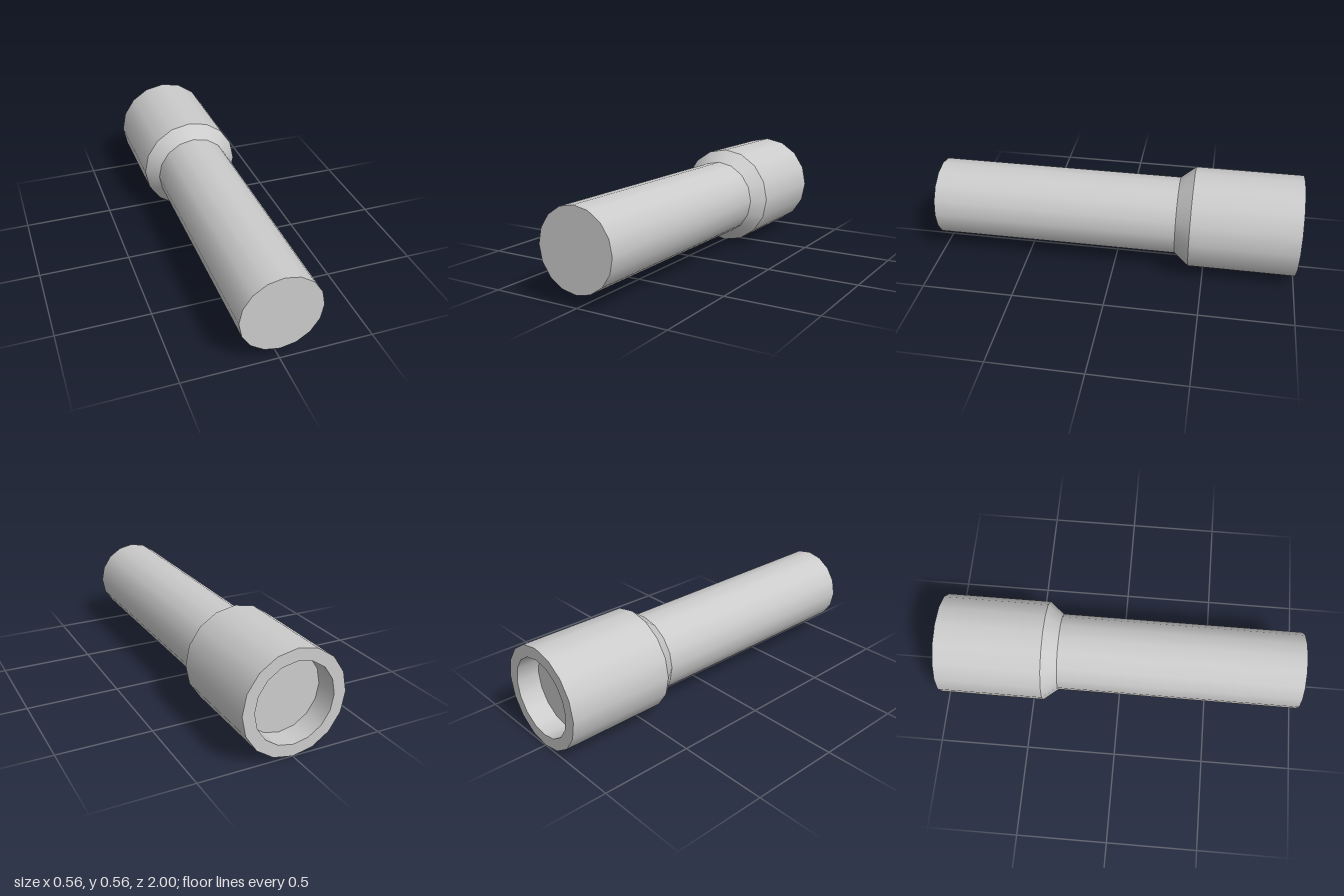
import * as THREE from 'three';

const SIDES = 16;
const SHAFT_R = 0.214, HEAD_R = 0.278, AXIS_Y = 0.28;

export function createModel() {
  const model = new THREE.Group();
  model.name = 'tubeWithSocket';
  const material = new THREE.MeshStandardMaterial({ color: 0xcccccc });

  // One smooth band of the turned profile, given as [radius, z] start and end;
  // separate bands keep the edges between them sharp.
  function band(name, [r1, z1], [r2, z2]) {
    const points = [new THREE.Vector2(r1, z1), new THREE.Vector2(r2, z2)];
    const geometry = new THREE.LatheGeometry(points, SIDES);
    geometry.rotateX(Math.PI / 2);
    geometry.translate(0, AXIS_Y, 0);
    const mesh = new THREE.Mesh(geometry, material);
    mesh.name = name;
    model.add(mesh);
  }

  // Flat disc across the axis, facing +z or -z
  function disc(name, radius, z, facing) {
    const geometry = new THREE.CircleGeometry(radius, SIDES);
    if (facing < 0) geometry.rotateY(Math.PI);
    geometry.translate(0, AXIS_Y, z);
    const mesh = new THREE.Mesh(geometry, material);
    mesh.name = name;
    model.add(mesh);
  }

  // Socket: recess floor, inner wall, rim and outer wall
  disc('socketFloor', SHAFT_R, -0.875, -1);
  band('socketInnerWall', [SHAFT_R, -0.875], [SHAFT_R, -1]);
  band('socketRim', [SHAFT_R, -1], [HEAD_R, -1]);
  band('socketOuterWall', [HEAD_R, -1], [HEAD_R, -0.42]);

  // Tapered shoulder down to the shaft
  band('shoulder', [HEAD_R, -0.42], [SHAFT_R, -0.34]);

  // Shaft and its closed front end
  band('shaft', [SHAFT_R, -0.34], [SHAFT_R, 1]);
  disc('shaftEnd', SHAFT_R, 1, 1);

  return model;
}
